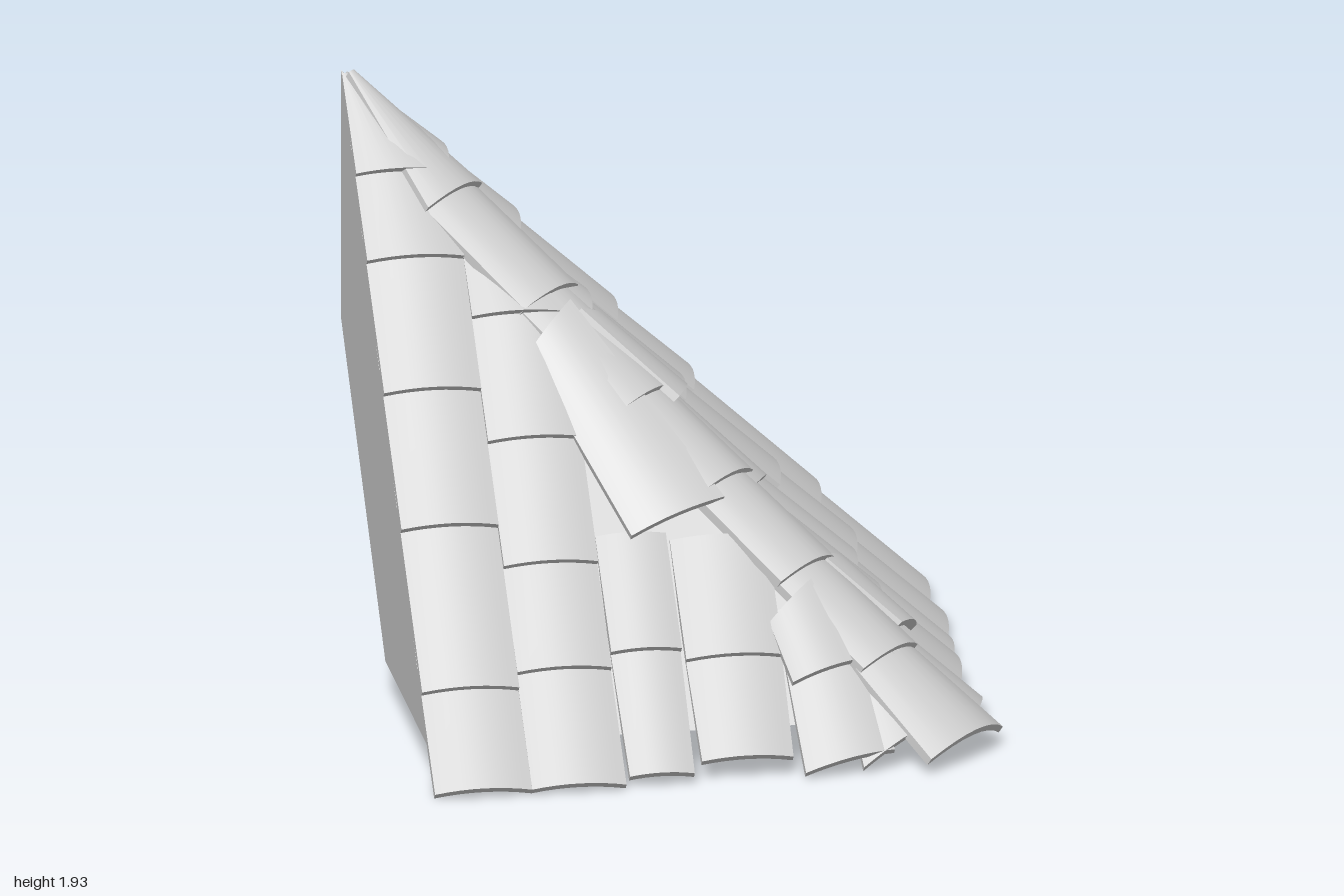
import * as THREE from 'three';
import { ConvexGeometry } from 'three/addons/geometries/ConvexGeometry.js';

const V = (x, y, z) => new THREE.Vector3(x, y, z);
const BASE = 0.895;
const roofY = (s) => BASE - s; // height under the tiles at distance s down a slope
const downTo = (y) => BASE + 0.05 - y; // slope distance of a lower tile edge seen at height y

export function createModel() {
  const model = new THREE.Group();
  const material = new THREE.MeshStandardMaterial({ color: 0xcccccc });

  const add = (name, geometry, parent) => {
    const mesh = new THREE.Mesh(geometry, material);
    mesh.name = name;
    parent.add(mesh);
  };

  // Arched slab between four corners: upper left/right, lower left/right
  const archedTile = (l0, r0, l1, r1, normal, { arch = 0.09, sink = 0, lift0 = 0, lift1 = 0.03, thick = 0.028 } = {}) => {
    const geo = new THREE.BoxGeometry(1, 1, 1, 8, 1, 1);
    const pos = geo.attributes.position;
    const n = normal.clone().normalize();
    for (let i = 0; i < pos.count; i++) {
      const u = pos.getX(i) + 0.5, v = pos.getZ(i) + 0.5, h = pos.getY(i) + 0.5;
      const a = l0.clone().lerp(r0, u), b = l1.clone().lerp(r1, u);
      const width = THREE.MathUtils.lerp(l0.distanceTo(r0), l1.distanceTo(r1), v);
      const rise = width * (arch * 4 * u * (1 - u) - sink) + lift0 + (lift1 - lift0) * v + h * thick;
      const p = a.lerp(b, v).addScaledVector(n, rise);
      pos.setXYZ(i, p.x, p.y, p.z);
    }
    geo.computeVertexNormals();
    return geo;
  };

  // Solid core with vertical back walls and a cut lower corner
  add('roofCore', new ConvexGeometry([
    V(-1, 1.92, -1), V(-1, 1.04, -1), V(-0.08, 0.14, -1), V(0.785, 0.14, -1),
    V(0.785, 0.14, 0.785), V(-1, 0.14, 0.785), V(-1, 0.14, -0.08),
  ]), model);

  // Columns: [across from, across to, slope start, heights of the lower tile edges]
  // Loose tiles: corners as [across, down slope], plus lift
  const slopes = [
    {
      name: 'front', side: false,
      columns: [
        [-1, -0.67, -1, [1.67, 1.44, 1.09, 0.73, 0.3, 0.03]],
        [-0.67, -0.35, -0.55, [1.28, 0.95, 0.62, 0.34, 0.03]],
        [-0.345, -0.105, 0.25, [0.38, 0.05]],
        [-0.095, 0.235, 0.27, [0.35, 0.08]],
      ],
      loose: [
        [[-0.5, -0.23], [-0.33, -0.37], [-0.23, 0.27], [0.1, 0.18], 0.02],
        [[0.23, 0.47], [0.45, 0.45], [0.26, 0.91], [0.57, 0.86], 0],
        [[0.42, 0.57], [0.6, 0.53], [0.46, 0.9], [0.73, 0.78], -0.01],
        [[0.2, 0.51], [0.36, 0.4], [0.25, 0.68], [0.46, 0.63], 0.03],
      ],
    },
    {
      name: 'side', side: true,
      columns: [
        [-1, -0.68, -1, [1.67, 1.43, 1.1, 0.84, 0.41, 0.04]],
        [-0.68, -0.36, -0.55, [1.24, 0.92, 0.6, 0.34, 0.03]],
        [-0.35, -0.105, 0.25, [0.38, 0.05]],
        [-0.1, 0.235, 0.27, [0.35, 0.08]],
      ],
      loose: [
        [[-0.48, -0.2], [-0.3, -0.34], [-0.38, 0], [-0.1, -0.06], 0.03],
        [[-0.42, -0.05], [-0.2, -0.2], [-0.23, 0.27], [0.1, 0.18], 0],
        [[0.24, 0.47], [0.45, 0.45], [0.27, 0.91], [0.57, 0.86], 0],
        [[0.42, 0.57], [0.6, 0.53], [0.46, 0.9], [0.73, 0.78], -0.01],
        [[0.08, 0.51], [0.3, 0.37], [0.25, 0.68], [0.44, 0.6], 0.04],
      ],
    },
  ];

  for (const { name, side, columns, loose } of slopes) {
    const group = new THREE.Group();
    group.name = name + 'Slope';
    model.add(group);
    const point = ([a, s]) => (side ? V(s, roofY(s), a) : V(a, roofY(s), s));
    const normal = side ? V(1, 1, 0) : V(0, 1, 1);
    const slopeTile = (label, l0, r0, l1, r1, options) => {
      const [a, b, c, d] = [l0, r0, l1, r1].map(point);
      const geo = side ? archedTile(b, a, d, c, normal, options) : archedTile(a, b, c, d, normal, options);
      add(label, geo, group);
    };

    columns.forEach(([a0, a1, start, edges]) => {
      let top = start;
      edges.forEach((y, row) => {
        const end = downTo(y);
        const last = row === edges.length - 1;
        const inset = last && a0 > -0.5 ? 0.01 : 0;
        // stop each tile at the hip line
        const clip = (s) => Math.max(a0 + 0.02, Math.min(a1, s + 0.02));
        slopeTile(name + 'Tile', [a0, top], [clip(top), top], [a0 + inset, end], [clip(end) - inset, end]);
        top = end - 0.07;
      });
    });

    for (const [l0, r0, l1, r1, lift] of loose) {
      slopeTile(name + 'FanTile', l0, r0, l1, r1, { lift0: lift, lift1: lift + 0.03 });
    }
  }

  // Shallow arched cap tiles running down the hip
  const hip = new THREE.Group();
  hip.name = 'hip';
  model.add(hip);
  const ends = [-0.67, -0.39, -0.11, 0.12, 0.36, 0.6, 0.83];
  const across = V(1, 0, -1).normalize();
  const hipPoint = (t, w) => V(t, roofY(t), t).addScaledVector(across, w);
  let top = -0.99;
  ends.forEach((end, i) => {
    const first = i === 0;
    const w0 = first ? 0.015 : 0.145;
    const w1 = i === ends.length - 1 ? 0.205 : 0.155;
    add('hipTile', archedTile(
      hipPoint(top, -w0), hipPoint(top, w0), hipPoint(end, -w1), hipPoint(end, w1),
      V(1, 2, 1), { arch: 0.17, sink: 0.16, lift0: first ? 0.025 : 0, lift1: 0.028, thick: 0.03 },
    ), hip);
    top = end - 0.06;
  });

  return model;
}
